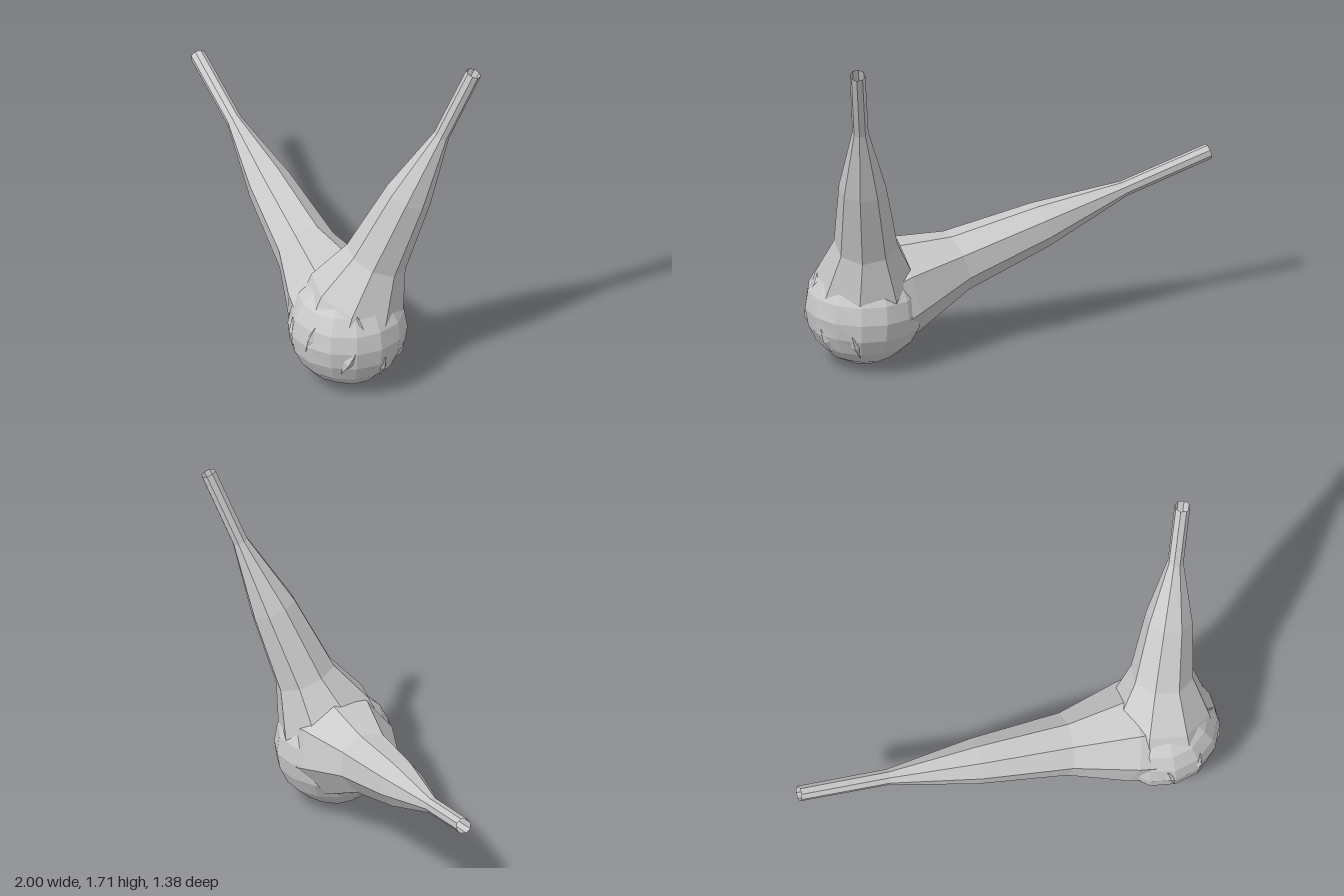
import * as THREE from 'three';

const V = (x, y, z) => new THREE.Vector3(x, y, z);
const material = new THREE.MeshStandardMaterial({ color: 0xcccccc, flatShading: true, side: THREE.DoubleSide });
const CENTER = V(0.425, 0.28, 0.41);
const RADIUS = 0.282;

function addMesh(group, name, geometry) {
  const mesh = new THREE.Mesh(geometry, material);
  mesh.name = name;
  group.add(mesh);
  return mesh;
}

// Open faceted tube through rings given as [x, y, z, radius]
function taperedTube(rings, sides = 8) {
  const first = V(...rings[0]), last = V(...rings[rings.length - 1]);
  const turn = new THREE.Quaternion().setFromUnitVectors(V(0, 1, 0), last.sub(first).normalize());
  const pos = [], index = [];
  rings.forEach(([x, y, z, r], i) => {
    for (let s = 0; s < sides; s++) {
      const a = ((s + 0.5) / sides) * Math.PI * 2;
      const p = V(Math.sin(a) * r, 0, Math.cos(a) * r).applyQuaternion(turn).add(V(x, y, z));
      pos.push(p.x, p.y, p.z);
      if (i === 0) continue;
      const n = (s + 1) % sides, lo = (i - 1) * sides, hi = i * sides;
      index.push(lo + s, lo + n, hi + n, lo + s, hi + n, hi + s);
    }
  });
  const g = new THREE.BufferGeometry();
  g.setAttribute('position', new THREE.Float32BufferAttribute(pos, 3));
  g.setIndex(index);
  g.computeVertexNormals();
  return g;
}

// Round body with slightly uneven facets
function bodyGeometry() {
  const g = new THREE.SphereGeometry(RADIUS, 14, 10);
  const p = g.attributes.position, v = V(0, 0, 0);
  for (let i = 0; i < p.count; i++) {
    v.fromBufferAttribute(p, i);
    const wave = Math.sin(v.x * 23 + 1) * Math.sin(v.y * 19) * Math.cos(v.z * 21);
    v.multiplyScalar(1 + 0.018 * wave);
    p.setXYZ(i, v.x, v.y, v.z);
  }
  g.computeVertexNormals();
  return g;
}

export function createModel() {
  const model = new THREE.Group();
  model.name = 'twoArmedBulb';

  addMesh(model, 'body', bodyGeometry()).position.copy(CENTER);

  // Arms flare out of the body and end in thin open pipes
  addMesh(model, 'upperArm', taperedTube([
    [0.45, 0.37, 0.40, 0.25], [0.465, 0.45, 0.385, 0.235], [0.54, 0.65, 0.34, 0.15],
    [0.68, 1.0, 0.28, 0.112], [0.822, 1.34, 0.215, 0.038], [0.96, 1.69, 0.155, 0.037],
  ]));
  addMesh(model, 'sideArm', taperedTube([
    [0.35, 0.32, 0.35, 0.25], [0.28, 0.35, 0.30, 0.238], [0.045, 0.42, 0.125, 0.15],
    [-0.30, 0.53, -0.14, 0.11], [-0.635, 0.64, -0.40, 0.038], [-0.98, 0.755, -0.665, 0.037],
  ]));

  // Small raised creases on the body: direction, tilt
  const creases = [
    [-0.7, 0.05, 0.75, 0.2], [-0.2, 0.15, 1, -0.3], [0.5, -0.2, 0.85, -0.5],
    [0.5, 0.65, 0.6, 0.4], [0.9, -0.45, 0.3, 0.1], [0.85, -0.45, -0.3, 0.2],
  ];
  for (const [x, y, z, tilt] of creases) {
    const dir = V(x, y, z).normalize();
    const ridge = addMesh(model, 'crease', new THREE.OctahedronGeometry(1));
    ridge.scale.set(0.025, 0.075, 0.018);
    ridge.position.copy(CENTER).addScaledVector(dir, RADIUS * 0.96);
    ridge.lookAt(CENTER.clone().addScaledVector(dir, 2));
    ridge.rotateZ(tilt);
  }
  return model;
}
